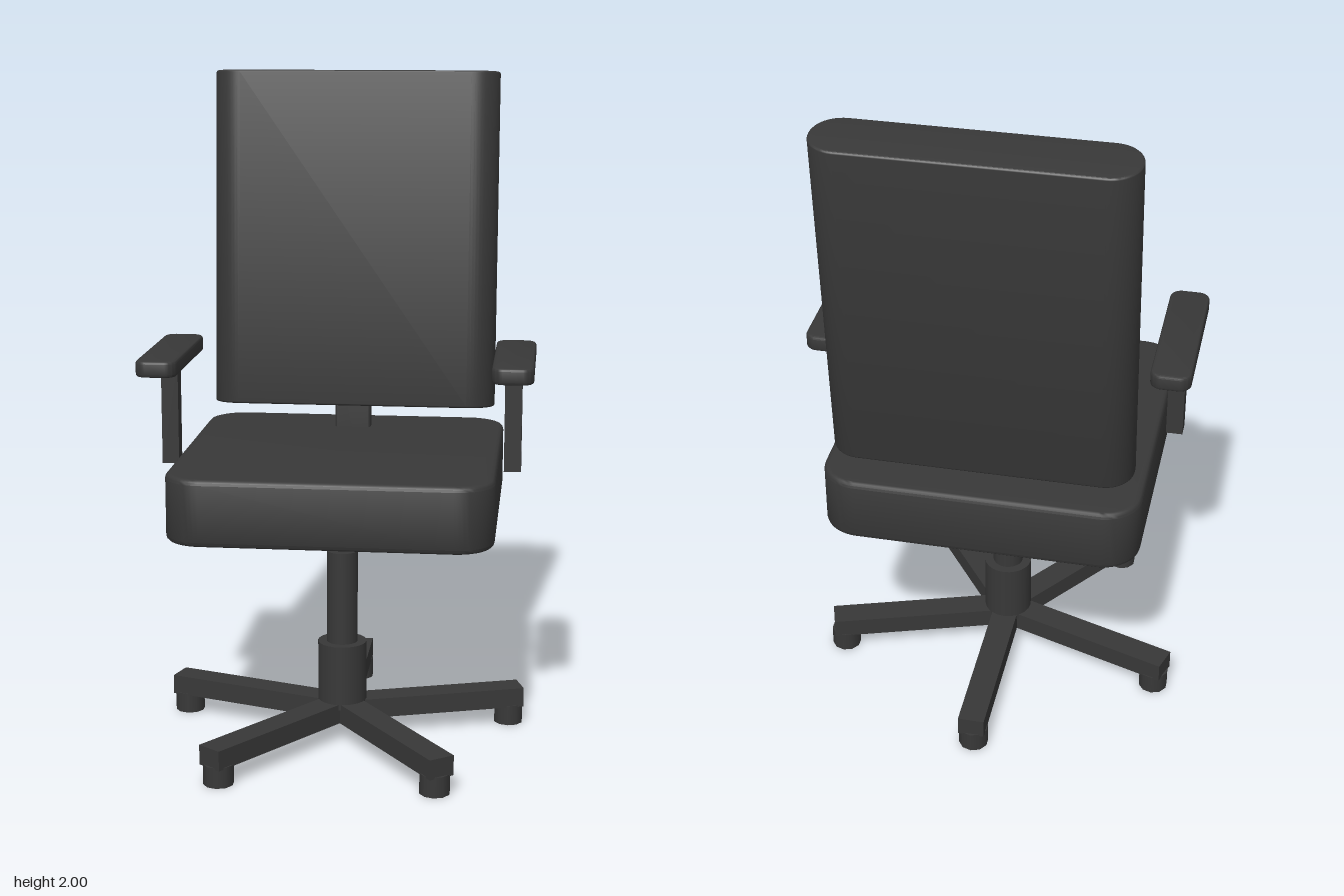
import * as THREE from 'three';
import { toCreasedNormals } from 'three/addons/utils/BufferGeometryUtils.js';

const charcoal = new THREE.MeshStandardMaterial({ color: 0x383838 });
charcoal.name = 'charcoal';

// Upright slab, centred on its origin, with rounded plan corners and a small edge bevel
function slab(width, height, depth, radius, bevel) {
  const x = width / 2 - bevel, y = depth / 2 - bevel, r = radius - bevel;
  const shape = new THREE.Shape();
  shape.absarc(x - r, y - r, r, 0, Math.PI / 2);
  shape.absarc(-x + r, y - r, r, Math.PI / 2, Math.PI);
  shape.absarc(-x + r, -y + r, r, Math.PI, Math.PI * 1.5);
  shape.absarc(x - r, -y + r, r, Math.PI * 1.5, Math.PI * 2);
  shape.closePath();
  const geometry = new THREE.ExtrudeGeometry(shape, {
    depth: height - 2 * bevel, curveSegments: 6,
    bevelThickness: bevel, bevelSize: bevel, bevelSegments: 3,
  });
  geometry.translate(0, 0, bevel - height / 2).rotateX(-Math.PI / 2);
  return toCreasedNormals(geometry, 0.7);
}

function add(parent, name, geometry, x, y, z) {
  const mesh = new THREE.Mesh(geometry, charcoal);
  mesh.name = name;
  mesh.position.set(x, y, z);
  parent.add(mesh);
  return mesh;
}

export function createModel() {
  const chair = new THREE.Group();
  chair.name = 'officeChair';

  // Cushions and the bracket joining them
  add(chair, 'seat', slab(0.936, 0.195, 0.935, 0.11, 0.015), 0, 0.8025, 0.0275);
  const back = add(chair, 'backrest', slab(0.88, 1.03, 0.176, 0.085, 0.006), 0, 1.479, -0.348);
  back.rotation.x = -0.085;
  add(chair, 'backBracket', slab(0.11, 0.42, 0.055, 0.012, 0.003), 0, 0.89, -0.273);

  // Armrests
  for (const [side, name] of [[1, 'left'], [-1, 'right']]) {
    add(chair, name + 'ArmPad', slab(0.119, 0.047, 0.485, 0.035, 0.008), side * 0.509, 1.178, 0.083);
    add(chair, name + 'ArmPost', new THREE.BoxGeometry(0.05, 0.31, 0.05), side * 0.508, 1.01, 0.086);
  }

  // Five-legged base with gas column
  const base = new THREE.Group();
  base.name = 'base';
  base.position.z = 0.05;
  chair.add(base);
  add(base, 'columnSleeve', new THREE.CylinderGeometry(0.074, 0.074, 0.2, 24), 0, 0.2, 0);
  add(base, 'gasColumn', new THREE.CylinderGeometry(0.047, 0.047, 0.485, 24), 0, 0.3425, 0);
  const legGeometry = new THREE.BoxGeometry(0.08, 0.06, 0.567).translate(0, 0, -0.2835);
  const casterGeometry = new THREE.CylinderGeometry(0.045, 0.045, 0.062, 10);
  for (let i = 0; i < 5; i++) {
    const angle = (i * Math.PI * 2) / 5;
    const leg = add(base, 'leg' + (i + 1), legGeometry, 0, 0.087, 0);
    leg.rotation.y = angle;
    add(base, 'caster' + (i + 1), casterGeometry,
      -Math.sin(angle) * 0.53, 0.031, -Math.cos(angle) * 0.53);
  }
  return chair;
}
